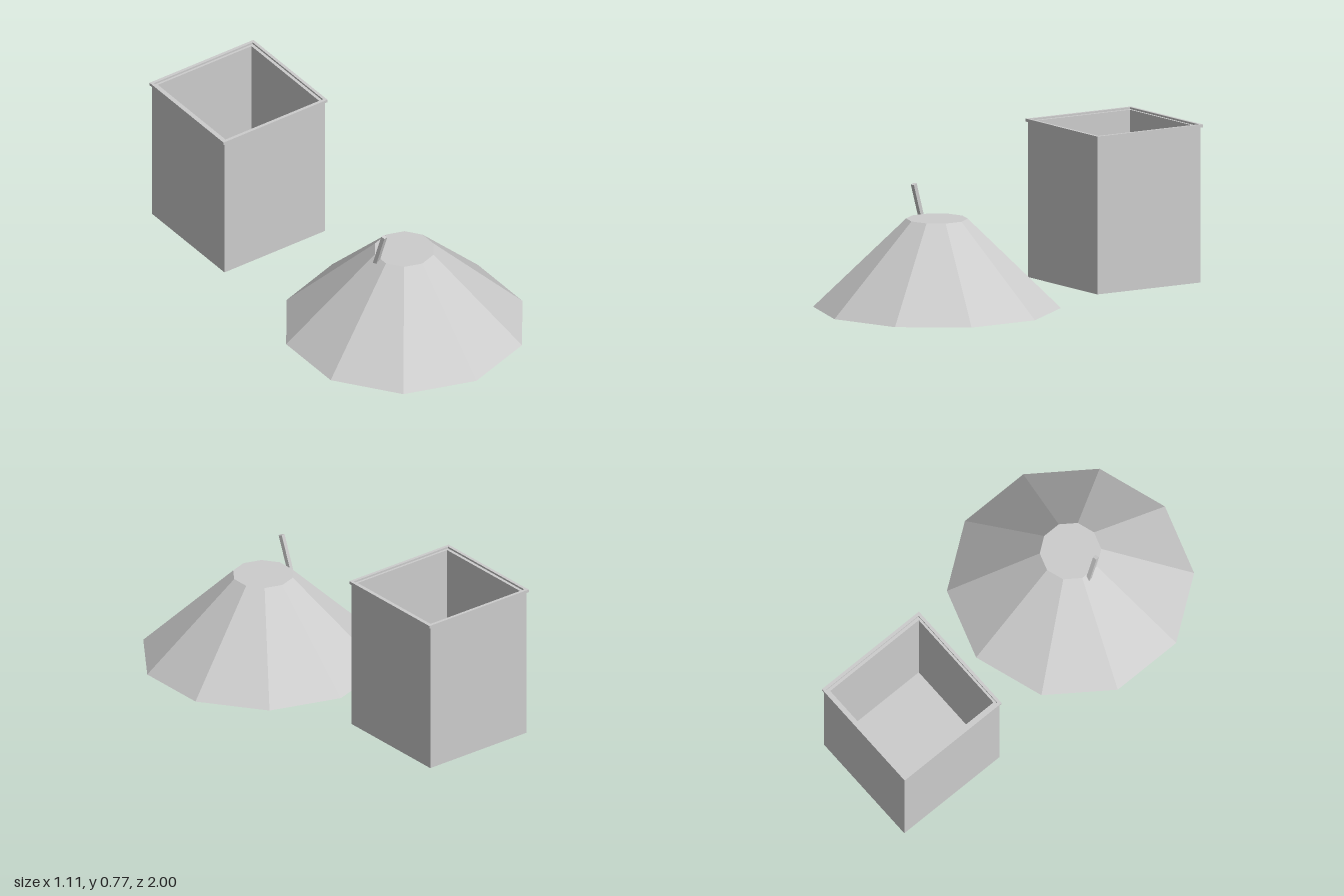
import * as THREE from 'three';

export function createModel() {
  const model = new THREE.Group();
  const grey = new THREE.MeshStandardMaterial({ color: 0xcccccc, flatShading: true });

  function add(parent, name, geometry, x = 0, y = 0, z = 0) {
    const mesh = new THREE.Mesh(geometry, grey);
    mesh.name = name;
    mesh.position.set(x, y, z);
    parent.add(mesh);
    return mesh;
  }

  // Square tube standing on y = 0, given half sizes and wall thickness
  function squareFrame(hx, hz, wall, height) {
    const rect = (Path, a, b) => new Path([
      new THREE.Vector2(-a, -b), new THREE.Vector2(a, -b),
      new THREE.Vector2(a, b), new THREE.Vector2(-a, b),
    ]);
    const shape = rect(THREE.Shape, hx, hz);
    shape.holes.push(rect(THREE.Path, hx - wall, hz - wall));
    return new THREE.ExtrudeGeometry(shape, { depth: height, bevelEnabled: false }).rotateX(-Math.PI / 2);
  }

  // Ten-sided pile with a flat top
  add(model, 'pile', new THREE.CylinderGeometry(0.145, 0.582, 0.423, 10), 0, 0.2235, 0.415);

  // Open square bin with a thin lip and a slightly recessed floor
  const bin = new THREE.Group();
  bin.name = 'bin';
  bin.position.set(-0.16, 0, -0.7);
  model.add(bin);
  add(bin, 'binWalls', squareFrame(0.29, 0.293, 0.02, 0.745), 0, 0.012, 0);
  add(bin, 'binLip', squareFrame(0.3, 0.299, 0.015, 0.014), 0, 0.752, 0);
  add(bin, 'binFloor', new THREE.BoxGeometry(0.545, 0.02, 0.55), 0, 0.032, 0);

  // Shovel stuck in the pile: leaning handle, blade tip poking out below
  const shovel = new THREE.Group();
  shovel.name = 'shovel';
  model.add(shovel);
  const handle = add(shovel, 'shovelHandle', new THREE.BoxGeometry(0.02, 0.4, 0.02), -0.153, 0.392, 0.393);
  handle.rotation.set(0.3, 0.2, 0, 'YXZ');
  const blade = add(shovel, 'shovelBlade', new THREE.BoxGeometry(0.115, 0.22, 0.02), -0.163, 0.1025, 0.389);
  blade.rotation.set(-0.48, 0.2, 0, 'YXZ');

  return model;
}
